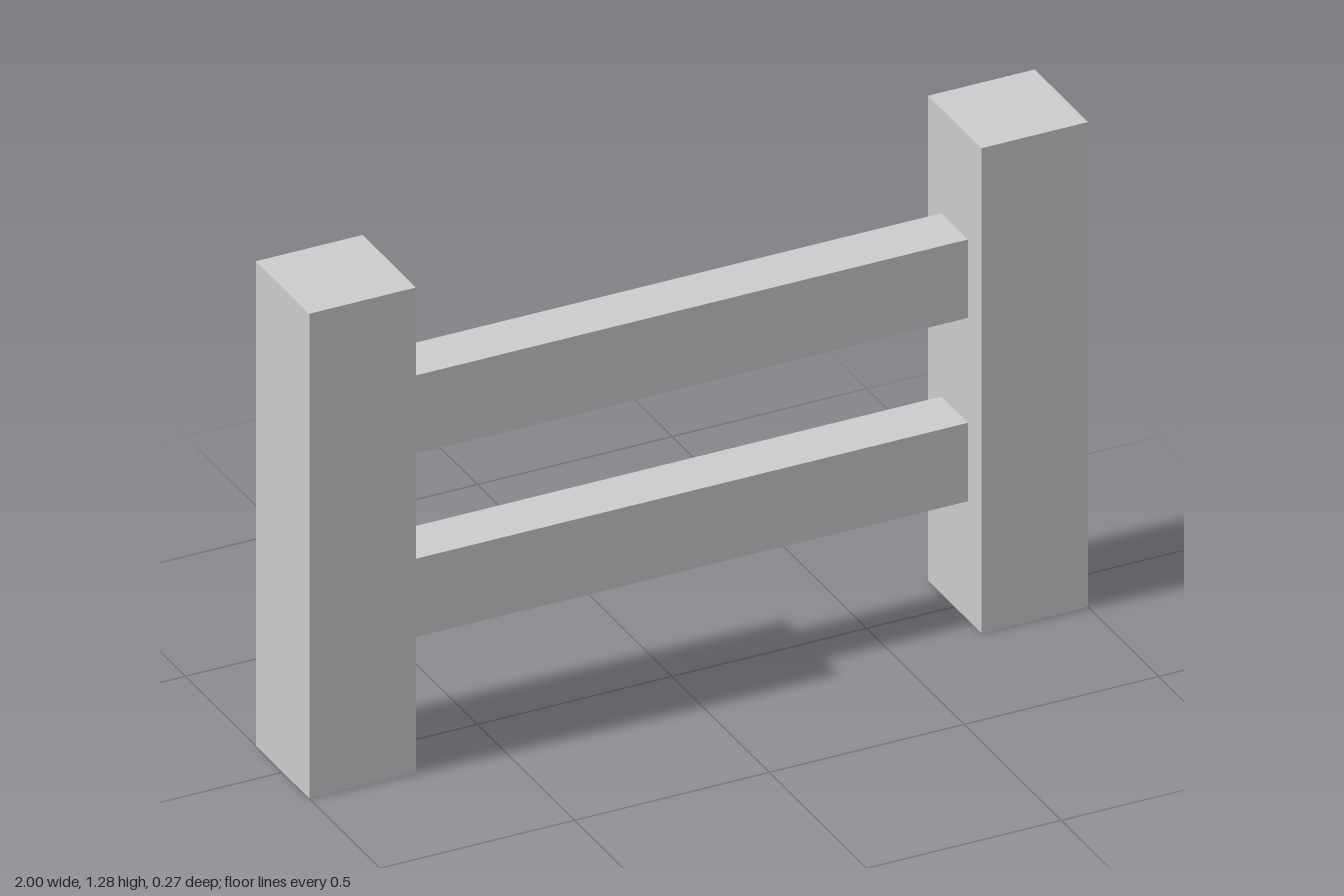
import * as THREE from 'three';

const POST = { width: 0.274, height: 1.28 };
const RAIL = { height: 0.207, depth: 0.137 };

export function createModel() {
  const group = new THREE.Group();
  group.name = 'fence';
  const material = new THREE.MeshStandardMaterial({ color: 0xcccccc, flatShading: true });

  const addBox = (name, size, position) => {
    const mesh = new THREE.Mesh(new THREE.BoxGeometry(...size), material);
    mesh.name = name;
    mesh.position.set(...position);
    group.add(mesh);
  };

  // Square end posts
  for (const [name, side] of [['leftPost', 1], ['rightPost', -1]]) {
    addBox(name, [POST.width, POST.height, POST.width],
      [side * (1 - POST.width / 2), POST.height / 2, 0]);
  }

  // Horizontal rails spanning between the posts' inner faces
  const span = 2 - 2 * POST.width;
  for (const [name, y] of [['lowerRail', 0.417], ['upperRail', 0.901]]) {
    addBox(name, [span, RAIL.height, RAIL.depth], [0, y, 0]);
  }

  return group;
}
